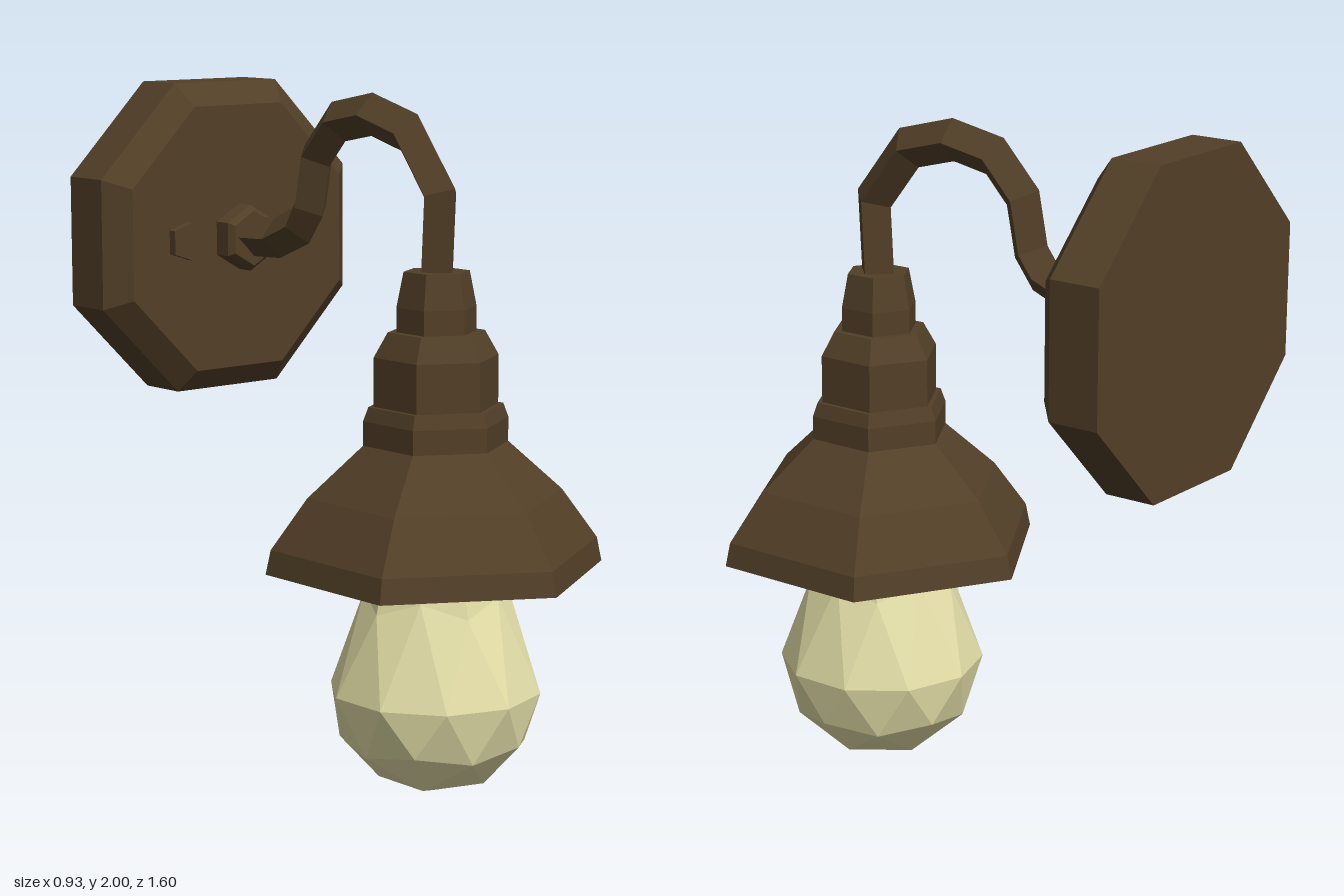
import * as THREE from 'three';

const paint = (color) => new THREE.MeshStandardMaterial({ color, flatShading: true });
const V2 = (p) => new THREE.Vector2(p[0], p[1]);

// Faceted turned part; profile points are [radius, height], bottom to top
function turned(name, profile, sides, material, phase = 0) {
  const geometry = new THREE.LatheGeometry(profile.map(V2), sides, phase);
  const mesh = new THREE.Mesh(geometry, material);
  mesh.name = name;
  return mesh;
}

// Diamond-section tube along a path of [y, z] points in the plane x = 0
function diamondTube(path, radius) {
  const pts = path.map(([y, z]) => new THREE.Vector3(0, y, z));
  const side = new THREE.Vector3(1, 0, 0);
  const positions = [], index = [];
  pts.forEach((p, i) => {
    const next = pts[Math.min(i + 1, pts.length - 1)];
    const prev = pts[Math.max(i - 1, 0)];
    const before = p.clone().sub(prev).normalize();
    const after = next.clone().sub(p).normalize();
    const tangent = before.clone().add(after).normalize();
    const bend = Math.max(before.dot(tangent), after.dot(tangent));
    const normal = side.clone().cross(tangent).multiplyScalar(1 / bend);
    [[1, 0], [0, 1], [-1, 0], [0, -1]].forEach(([n, s]) => {
      const q = p.clone().addScaledVector(normal, n * radius).addScaledVector(side, s * radius);
      positions.push(q.x, q.y, q.z);
    });
    if (i === 0) return;
    for (let k = 0; k < 4; k++) {
      const a = (i - 1) * 4 + k, b = (i - 1) * 4 + (k + 1) % 4;
      index.push(a, b, a + 4, b, b + 4, a + 4);
    }
  });
  const geometry = new THREE.BufferGeometry();
  geometry.setAttribute('position', new THREE.Float32BufferAttribute(positions, 3));
  geometry.setIndex(index);
  geometry.computeVertexNormals();
  return geometry;
}

// Faceted bulb: a sphere whose upper half is drawn out into a neck
function bulbGeometry(radius) {
  const geometry = new THREE.IcosahedronGeometry(1, 1);
  geometry.rotateX(-Math.atan((1 + Math.sqrt(5)) / 2));
  geometry.rotateY(-Math.PI / 2);
  const pos = geometry.attributes.position;
  for (let i = 0; i < pos.count; i++) {
    const y = pos.getY(i);
    const taper = y <= 0 ? 1 : y < 0.7 ? 1 - 0.42 * y : 1.05;
    pos.setXYZ(i, pos.getX(i) * taper * radius, y * radius * (y > 0 ? 1.8 : 1), pos.getZ(i) * taper * radius);
  }
  geometry.computeVertexNormals();
  return geometry;
}

export function createModel() {
  const model = new THREE.Group();
  model.name = 'wallLamp';
  const bronze = paint(0x523f27);
  const dark = paint(0x26262a);
  const glass = paint(0xe4dfa8);

  // Wall mount: octagonal plate, arm collar and two screw heads, turned to face +z
  const mount = new THREE.Group();
  mount.name = 'wallMount';
  mount.position.set(0, 1.535, -0.8);
  mount.rotation.x = Math.PI / 2;
  mount.add(turned('wallPlate',
    [[0, 0], [0.503, 0], [0.503, 0.155], [0.43, 0.218], [0, 0.218]], 8, bronze, Math.PI / 8));
  mount.add(turned('armCollar',
    [[0.1, 0.2], [0.1, 0.272], [0.083, 0.29], [0, 0.29]], 6, bronze));
  for (const s of [-1, 1]) {
    const screw = turned('screwHead', [[0.06, 0.2], [0.06, 0.245], [0, 0.245]], 5, bronze, -s * Math.PI / 2);
    screw.position.x = s * 0.215;
    mount.add(screw);
  }
  model.add(mount);

  // Gooseneck arm
  const arm = new THREE.Mesh(diamondTube([
    [1.48, 0.307], [1.725, 0.32], [1.89, 0.19], [1.933, 0.03], [1.905, -0.117],
    [1.8, -0.215], [1.65, -0.245], [1.59, -0.29], [1.545, -0.4], [1.54, -0.53],
  ], 0.06), bronze);
  arm.name = 'gooseneckArm';
  model.add(arm);

  // Lamp head: hexagonal stepped cap and shade, socket and bulb on one axis
  const head = new THREE.Group();
  head.name = 'lampHead';
  head.position.z = 0.307;
  head.add(turned('shade', [
    [0, 1.0], [0.19, 1.0], [0.35, 0.86], [0.45, 0.72], [0.465, 0.66],
    [0.49, 0.66], [0.475, 0.73], [0.37, 0.875], [0.21, 1.02], [0.21, 1.09], [0.195, 1.13], [0.18, 1.13],
  ], 6, bronze));
  head.add(turned('cap', [
    [0.18, 1.13], [0.18, 1.27], [0.14, 1.34], [0.115, 1.34], [0.115, 1.41], [0.095, 1.51], [0, 1.51],
  ], 6, bronze));
  head.add(turned('socket', [[0, 0.71], [0.28, 0.71], [0.2, 1.0]], 6, dark));
  const bulb = new THREE.Mesh(bulbGeometry(0.307), glass);
  bulb.name = 'bulb';
  bulb.position.y = 0.307;
  head.add(bulb);
  model.add(head);

  return model;
}
